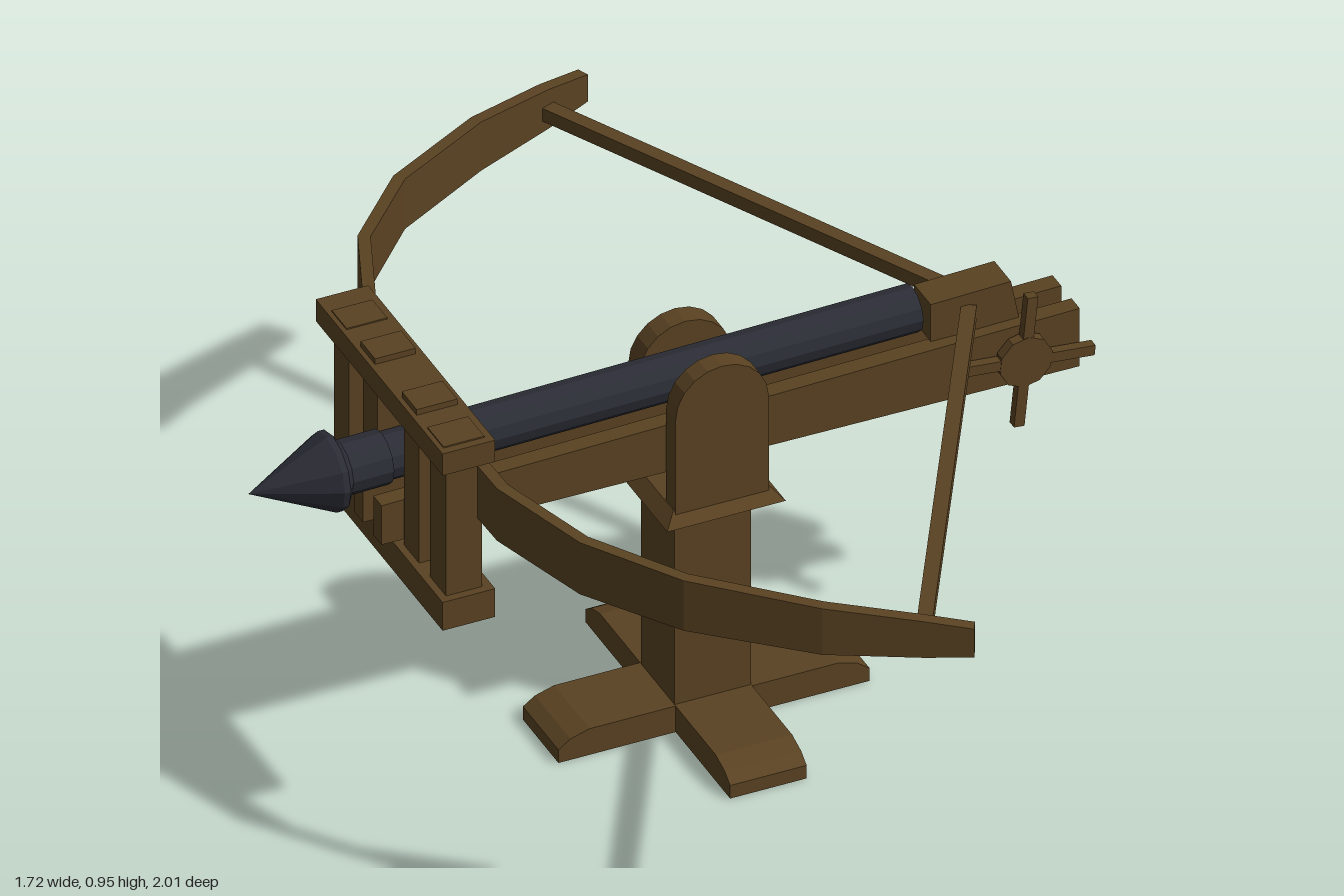
import * as THREE from 'three';

const wood = new THREE.MeshStandardMaterial({ color: 0x5a4222, flatShading: true });
const iron = new THREE.MeshStandardMaterial({ color: 0x2b2d36, flatShading: true });

function add(parent, name, geometry, material = wood) {
  const mesh = new THREE.Mesh(geometry, material);
  mesh.name = name;
  parent.add(mesh);
  return mesh;
}

// Box given by its limits on each axis
function box(parent, name, x0, x1, y0, y1, z0, z1) {
  const mesh = add(parent, name, new THREE.BoxGeometry(x1 - x0, y1 - y0, z1 - z0));
  mesh.position.set((x0 + x1) / 2, (y0 + y1) / 2, (z0 + z1) / 2);
  return mesh;
}

// Outline in x and y, extruded from z0 to z1
function plate(parent, name, shape, z0, z1) {
  const geometry = new THREE.ExtrudeGeometry(shape, { depth: z1 - z0, bevelEnabled: false, curveSegments: 5 });
  geometry.translate(0, 0, z0);
  return add(parent, name, geometry);
}

const outline = (pts) => new THREE.Shape(pts.map(([x, y]) => new THREE.Vector2(x, y)));

// Square bar between two points
function bar(parent, name, a, b, w, h) {
  const from = new THREE.Vector3(...a), to = new THREE.Vector3(...b);
  const mesh = add(parent, name, new THREE.BoxGeometry(w, h, from.distanceTo(to)));
  mesh.position.copy(from).lerp(to, 0.5);
  mesh.lookAt(to);
  return mesh;
}

// Curved limb from rectangular sections: [x, z, bottom, top]
function limb(rows, thick) {
  const rings = rows.map(([x, z, lo, hi], i) => {
    const p = rows[Math.max(0, i - 1)], q = rows[Math.min(rows.length - 1, i + 1)];
    const dx = q[0] - p[0], dz = q[1] - p[1], len = Math.hypot(dx, dz);
    const nx = dz / len * thick / 2, nz = -dx / len * thick / 2;
    return [[x + nx, hi, z + nz], [x - nx, hi, z - nz], [x - nx, lo, z - nz], [x + nx, lo, z + nz]];
  });
  const pos = [];
  const quad = (a, b, c, d) => pos.push(...a, ...b, ...c, ...a, ...c, ...d);
  for (let i = 0; i < rings.length - 1; i++) {
    for (let k = 0; k < 4; k++) {
      const n = (k + 1) % 4;
      quad(rings[i][k], rings[i][n], rings[i + 1][n], rings[i + 1][k]);
    }
  }
  quad(...rings[rings.length - 1]);
  quad(...[...rings[0]].reverse());
  const geometry = new THREE.BufferGeometry();
  geometry.setAttribute('position', new THREE.Float32BufferAttribute(pos, 3));
  geometry.computeVertexNormals();
  return geometry;
}

export function createModel() {
  const model = new THREE.Group();
  model.name = 'ballista';

  // Crossed feet with rounded ends
  const stand = new THREE.Group();
  stand.name = 'stand';
  stand.position.set(0.075, 0, -0.055);
  model.add(stand);
  const L = 0.325;
  const foot = outline([[-L, 0], [L, 0], [L, 0.03], [L - 0.025, 0.048], [L - 0.065, 0.06],
    [-L + 0.065, 0.06], [-L + 0.025, 0.048], [-L, 0.03]]);
  plate(stand, 'footAlong', foot, -0.08, 0.08);
  plate(stand, 'footAcross', foot, -0.08, 0.08).rotation.y = Math.PI / 2;

  // Post and flared collar
  box(stand, 'post', -0.08, 0.08, 0.02, 0.52, -0.075, 0.075);
  const collar = add(model, 'collar', new THREE.CylinderGeometry(0.1, 0.124, 0.028, 4, 1).toNonIndexed());
  collar.geometry.rotateY(Math.PI / 4);
  collar.geometry.scale(Math.SQRT2, 1, Math.SQRT2);
  collar.geometry.computeVertexNormals();
  collar.position.set(0.073, 0.526, -0.038);

  // Cheeks with rounded tops that hold the stock
  const cheek = new THREE.Shape();
  cheek.moveTo(-0.025, 0.53);
  cheek.lineTo(0.17, 0.53);
  cheek.lineTo(0.17, 0.75);
  cheek.absarc(0.0725, 0.75, 0.0975, 0, Math.PI, false);
  cheek.lineTo(-0.025, 0.53);
  plate(model, 'cheekLeft', cheek, 0.025, 0.068);
  plate(model, 'cheekRight', cheek, -0.145, -0.097);

  // Stock of two rails, with a ledge on the far side
  const rail = outline([[-0.62, 0.61], [0.84, 0.597], [0.84, 0.73], [-0.62, 0.70]]);
  plate(model, 'railFront', rail, -0.012, 0.025);
  plate(model, 'railBack', rail, -0.097, -0.058);
  box(model, 'ledge', -0.25, 0.4, 0.603, 0.635, -0.135, -0.095);

  // Trigger block and catch
  plate(model, 'triggerBlock', outline([[0.54, 0.725], [0.725, 0.725], [0.708, 0.815], [0.54, 0.81]]), -0.075, 0);
  box(model, 'catch', 0.62, 0.7, 0.67, 0.73, -0.055, -0.018);

  // Bow frame: two beams joined by four posts
  const frame = new THREE.Group();
  frame.name = 'bowFrame';
  model.add(frame);
  box(frame, 'upperBeam', -0.59, -0.48, 0.892, 0.942, -0.335, 0.235);
  box(frame, 'lowerBeam', -0.59, -0.48, 0.535, 0.6, -0.335, 0.235);
  for (const [z0, z1, end] of [[0.145, 0.218, 0], [0.03, 0.097, 0.01], [-0.155, -0.09, 0.01], [-0.285, -0.218, 0]]) {
    box(frame, 'framePost', -0.575, -0.5, 0.54, 0.93, z0, z1);
    box(frame, 'postCap', -0.58, -0.495, 0.935, 0.945 + end, z0, z1);
    box(frame, 'postFoot', -0.58, -0.495, 0.53 - end, 0.54, z0, z1);
  }

  // Bow limbs
  add(model, 'bowLimbLeft', limb([
    [-0.5, 0.04, 0.76, 0.88], [-0.495, 0.3, 0.76, 0.88], [-0.425, 0.515, 0.753, 0.872],
    [-0.295, 0.695, 0.745, 0.86], [-0.085, 0.86, 0.732, 0.838], [0.085, 0.95, 0.732, 0.815],
    [0.17, 0.993, 0.735, 0.8]], 0.025));
  add(model, 'bowLimbRight', limb([
    [-0.5, -0.1, 0.76, 0.88], [-0.465, -0.36, 0.76, 0.88], [-0.375, -0.58, 0.753, 0.872],
    [-0.225, -0.745, 0.745, 0.86], [0, -0.882, 0.73, 0.842], [0.175, -0.953, 0.732, 0.822],
    [0.275, -0.993, 0.74, 0.802]], 0.025));

  // Bowstring drawn back to the trigger
  bar(model, 'stringLeft', [0.085, 0.772, 0.945], [0.62, 0.772, 0], 0.03, 0.03);
  bar(model, 'stringRight', [0.175, 0.772, -0.945], [0.625, 0.772, -0.06], 0.03, 0.03);

  // Winch: axle, hub and four spokes
  const winch = new THREE.Group();
  winch.name = 'winch';
  winch.position.set(0.715, 0.66, 0.043);
  winch.rotation.z = -0.1;
  model.add(winch);
  const hub = add(winch, 'hub', new THREE.CylinderGeometry(0.056, 0.056, 0.022, 10));
  hub.rotation.x = Math.PI / 2;
  const axle = add(winch, 'axle', new THREE.CylinderGeometry(0.02, 0.02, 0.13, 8));
  axle.rotation.x = Math.PI / 2;
  axle.position.z = -0.06;
  for (let i = 0; i < 4; i++) {
    const a = i * Math.PI / 2;
    const spoke = add(winch, 'spoke', new THREE.BoxGeometry(0.1, 0.022, 0.02));
    spoke.position.set(Math.cos(a) * 0.095, Math.sin(a) * 0.095, 0);
    spoke.rotation.z = a;
  }

  // Bolt lying in the stock, turned about its own axis
  const bolt = new THREE.Group();
  bolt.name = 'bolt';
  bolt.position.set(-0.86, 0.745, -0.058);
  bolt.rotation.z = -Math.PI / 2 + 0.018;
  model.add(bolt);
  const profile = (pts) => new THREE.LatheGeometry(pts.map(([r, y]) => new THREE.Vector2(r, y)), 12);
  add(bolt, 'boltShaft', profile([[0, 0.2], [0.048, 0.2], [0.048, 1.39], [0, 1.39]]), iron);
  add(bolt, 'boltHead', profile([[0, 0], [0.08, 0.165], [0.08, 0.178], [0.055, 0.195], [0.055, 0.28], [0.048, 0.28]]), iron);
  return model;
}
